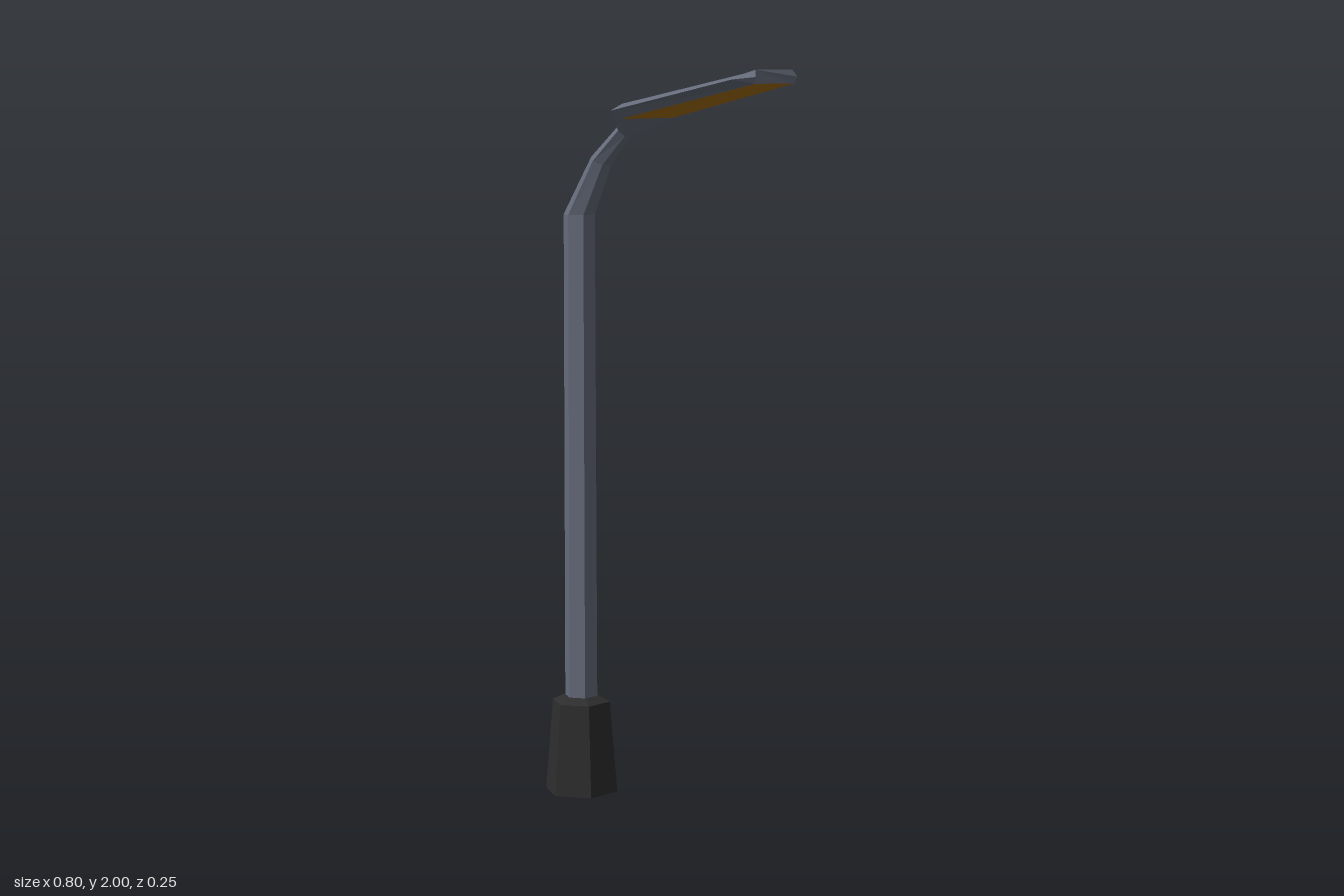
import * as THREE from 'three';

const material = (name, color) => {
  const m = new THREE.MeshStandardMaterial({ color, flatShading: true });
  m.name = name;
  return m;
};

// Six-sided ring from three [x, y, halfWidth] rows: upper edge, outer ridge, lower edge.
const ring = (rows) => [
  ...rows.map(([x, y, z]) => [x, y, z]),
  ...[...rows].reverse().map(([x, y, z]) => [x, y, -z]),
];

// Skin consecutive rings with flat quads on the chosen sides; optionally close the far end.
function loft(sections, sides, capEnd = false) {
  const rings = sections.map(ring);
  const pos = [];
  const tri = (...pts) => pts.forEach((p) => pos.push(...p));
  for (let i = 0; i < rings.length - 1; i++) {
    for (const j of sides) {
      const k = (j + 1) % 6;
      const [a, b, c, d] = [rings[i][j], rings[i][k], rings[i + 1][k], rings[i + 1][j]];
      tri(a, b, c);
      tri(a, c, d);
    }
  }
  if (capEnd) {
    const e = rings[rings.length - 1];
    for (let j = 1; j < 5; j++) tri(e[0], e[j], e[j + 1]);
  }
  const g = new THREE.BufferGeometry();
  g.setAttribute('position', new THREE.Float32BufferAttribute(pos, 3));
  g.computeVertexNormals();
  return g;
}

export function createModel() {
  const model = new THREE.Group();
  model.name = 'streetLamp';
  const metal = material('greyMetal', 0x666c7b);
  const dark = material('darkBase', 0x2d2d2d);
  const amber = material('amberLight', 0xa8700f);

  const add = (name, geometry, mat, x = 0, y = 0) => {
    const mesh = new THREE.Mesh(geometry, mat);
    mesh.name = name;
    mesh.position.set(x, y, 0);
    model.add(mesh);
  };

  // Hexagonal foot with a bevelled top
  const poleX = -0.31;
  add('foot', new THREE.CylinderGeometry(0.082, 0.103, 0.255, 6), dark, poleX, 0.1275);
  add('footBevel', new THREE.CylinderGeometry(0.05, 0.082, 0.015, 6), dark, poleX, 0.2625);

  // Pole bending over into a thin neck
  const neck = [[-0.145, 1.85, 0.013], [-0.135, 1.835, 0.027], [-0.125, 1.82, 0.013]];
  const all = [0, 1, 2, 3, 4, 5];
  add('poleAndArm', loft([
    [[-0.349, 0.26, 0.024], [poleX, 0.26, 0.046], [-0.271, 0.26, 0.024]],
    [[-0.348, 1.605, 0.022], [poleX, 1.605, 0.042], [-0.272, 1.605, 0.022]],
    [[-0.246, 1.762, 0.018], [-0.225, 1.752, 0.033], [-0.204, 1.741, 0.018]],
    neck,
  ], all), metal);

  // Lamp head: flare from the neck, then the flat housing with cut corners
  const start = [[-0.082, 1.907, 0.066], [-0.067, 1.89, 0.126], [-0.055, 1.868, 0.1]];
  const housing = [
    start,
    [[0.35, 1.988, 0.07], [0.36, 1.974, 0.126], [0.36, 1.956, 0.077]],
    [[0.39, 1.998, 0.07], [0.398, 1.98, 0.08], [0.394, 1.963, 0.075]],
  ];
  add('headFlare', loft([neck, start], all), metal);
  add('headHousing', loft(housing, [0, 1, 3, 4, 5], true), metal);

  // Glowing underside
  add('lightPanel', loft([housing[0], housing[2]], [2]), amber);

  return model;
}
